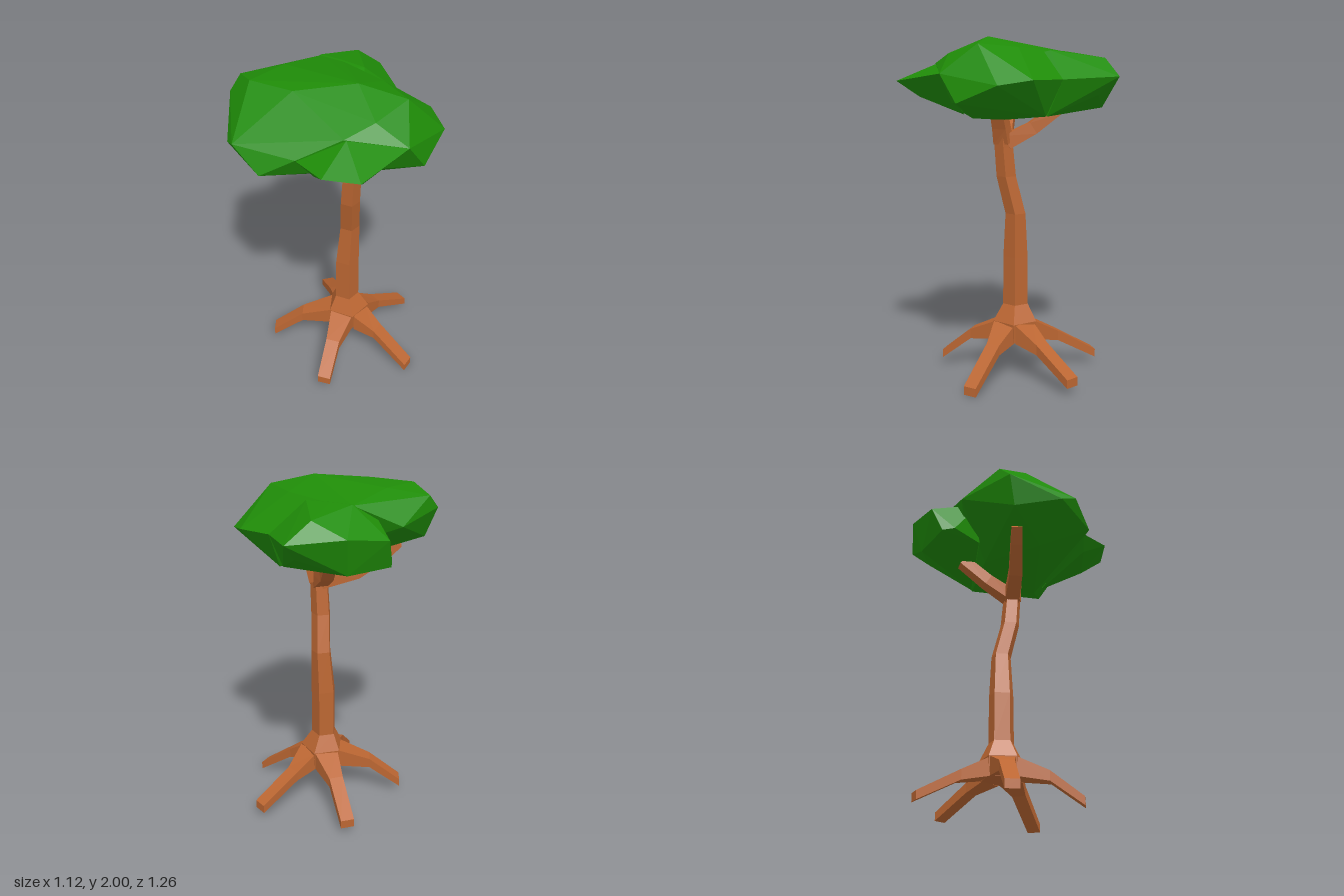
import * as THREE from 'three';
import { ConvexGeometry } from 'three/addons/geometries/ConvexGeometry.js';

const V = (x, y, z) => new THREE.Vector3(x, y, z);
const bark = new THREE.MeshStandardMaterial({ color: 0xbb6632, flatShading: true });
const leaf = new THREE.MeshStandardMaterial({ color: 0x1f8c08, flatShading: true });

// Skin a series of equal-sided rings and cap both ends
function loft(rings) {
  const n = rings[0].length, pos = [];
  const tri = (...pts) => pts.forEach(p => pos.push(p.x, p.y, p.z));
  for (let r = 0; r < rings.length - 1; r++) {
    const a = rings[r], b = rings[r + 1];
    for (let i = 0; i < n; i++) {
      const j = (i + 1) % n;
      tri(a[i], a[j], b[j]);
      tri(a[i], b[j], b[i]);
    }
  }
  const first = rings[0], last = rings[rings.length - 1];
  for (let i = 1; i < n - 1; i++) {
    tri(first[0], first[i + 1], first[i]);
    tri(last[0], last[i], last[i + 1]);
  }
  const geo = new THREE.BufferGeometry();
  geo.setAttribute('position', new THREE.Float32BufferAttribute(pos, 3));
  geo.computeVertexNormals();
  return geo;
}

// Horizontal five-sided ring with a flat side toward the front
function pentagon([x, y, z, r]) {
  return [0, 1, 2, 3, 4].map(i => {
    const a = Math.PI / 5 + i * Math.PI * 0.4;
    return V(x + r * Math.sin(a), y, z + r * Math.cos(a));
  });
}

// Four-sided limb through stations [x, y, z, width, height]
function limb(stations, upright) {
  const pts = stations.map(s => V(s[0], s[1], s[2]));
  const last = pts.length - 1;
  return loft(stations.map(([, , , w, h], k) => {
    const dir = pts[Math.min(k + 1, last)].clone().sub(pts[Math.max(k - 1, 0)]).normalize();
    const side = V(0, 1, 0).cross(dir).normalize();
    const up = upright ? V(0, 1, 0) : dir.clone().cross(side);
    return [[1, 1], [-1, 1], [-1, -1], [1, -1]].map(([a, b]) =>
      pts[k].clone().addScaledVector(side, a * w / 2).addScaledVector(up, b * h / 2));
  }));
}

function add(group, name, geometry, material) {
  const mesh = new THREE.Mesh(geometry, material);
  mesh.name = name;
  group.add(mesh);
}

export function createModel() {
  const tree = new THREE.Group();
  tree.name = 'tree';

  // Trunk, flaring into the root hub at the bottom
  add(tree, 'trunk', loft([
    [0.052, 0.215, -0.028, 0.125], [0.052, 0.33, -0.028, 0.135],
    [0.042, 0.43, -0.027, 0.078], [0.042, 0.72, -0.027, 0.076],
    [0.055, 0.98, -0.032, 0.062], [0.076, 1.2, 0.018, 0.06],
    [0.088, 1.37, 0.028, 0.057], [0.1, 1.45, 0.028, 0.05],
  ].map(pentagon)), bark);

  // Five roots: tip position and position of the knee
  const roots = new THREE.Group();
  roots.name = 'roots';
  [
    [[0.083, 0.075, 0.435], [0.065, 0.22, 0.25]],
    [[0.515, 0.03, 0.06], [0.28, 0.205, 0.02]],
    [[0.285, 0.075, -0.465], [0.165, 0.205, -0.24]],
    [[-0.27, 0.075, -0.425], [-0.12, 0.21, -0.23]],
    [[-0.41, 0.075, 0.14], [-0.23, 0.22, 0.07]],
  ].forEach(([tip, knee], i) => {
    const a = i * Math.PI * 0.4;
    const start = [0.052 + 0.1 * Math.sin(a), 0.272, -0.028 + 0.1 * Math.cos(a)];
    add(roots, 'root' + (i + 1), limb([
      [...start, 0.145, 0.112], [...knee, 0.085, 0.06], [...tip, 0.08, 0.05],
    ], true), bark);
  });
  tree.add(roots);

  // Branches spreading into the crown: right, back and left
  const branches = new THREE.Group();
  branches.name = 'branches';
  [
    [[0.08, 1.4, 0.03, 0.09, 0.09], [-0.12, 1.46, 0.1, 0.08, 0.08],
      [-0.27, 1.57, 0.14, 0.07, 0.07], [-0.34, 1.64, 0.16, 0.065, 0.065]],
    [[0.085, 1.4, 0.02, 0.085, 0.085], [-0.01, 1.48, -0.11, 0.075, 0.075], [-0.09, 1.6, -0.25, 0.07, 0.07]],
    [[0.095, 1.4, 0.028, 0.095, 0.08], [0.125, 1.49, 0.03, 0.085, 0.075], [0.19, 1.64, 0.03, 0.075, 0.07]],
  ].forEach((s, i) => add(branches, 'branch' + (i + 1), limb(s, false), bark));
  tree.add(branches);

  // Faceted crown made of three overlapping lobes
  const lobes = {
    mainFoliage: [
      [0.15, 2, 0.1], [-0.32, 1.97, -0.01], [0.21, 1.93, -0.11], [0.4, 1.94, 0.05],
      [-0.14, 1.975, 0.26], [-0.4, 1.97, 0.23], [0.2, 1.855, 0.41], [0.31, 1.9, 0.27],
      [-0.23, 1.92, -0.29], [-0.1, 1.92, -0.27], [0.21, 1.75, -0.37], [0.555, 1.71, -0.13],
      [0.53, 1.62, 0.12], [0.43, 1.74, -0.28], [0.48, 1.78, 0.24], [-0.56, 1.85, 0.17],
      [-0.46, 1.8, -0.15], [-0.53, 1.925, 0.1], [-0.43, 1.72, 0.45], [-0.36, 1.76, 0.52],
      [-0.19, 1.645, 0.57], [-0.01, 1.75, 0.52], [-0.2, 1.575, 0.27], [0.17, 1.53, 0],
      [0.3, 1.54, 0.13], [-0.49, 1.68, 0.18], [0.2, 1.55, -0.27], [-0.1, 1.57, -0.1],
    ],
    backFoliage: [
      [0, 1.77, -0.63], [-0.1, 1.88, -0.52], [-0.29, 1.8, -0.52], [-0.45, 1.77, -0.34],
      [-0.44, 1.615, -0.27], [-0.42, 1.63, -0.2], [-0.23, 1.925, -0.29], [-0.1, 1.925, -0.27],
      [0.05, 1.92, -0.24], [0.21, 1.75, -0.37], [0, 1.67, -0.51], [-0.27, 1.6, -0.46],
      [0.18, 1.55, -0.27], [-0.25, 1.62, -0.1], [-0.25, 1.9, -0.1], [0.1, 1.88, -0.1],
    ],
    frontFoliage: [
      [0.18, 1.76, 0.63], [0.36, 1.75, 0.58], [0.48, 1.78, 0.24], [0.21, 1.85, 0.4],
      [-0.01, 1.745, 0.515], [0.32, 1.66, 0.45], [0.08, 1.67, 0.5], [0.3, 1.56, 0.18],
    ],
  };
  const crown = new THREE.Group();
  crown.name = 'crown';
  for (const [name, pts] of Object.entries(lobes))
    add(crown, name, new ConvexGeometry(pts.map(p => V(...p))), leaf);
  tree.add(crown);

  return tree;
}
